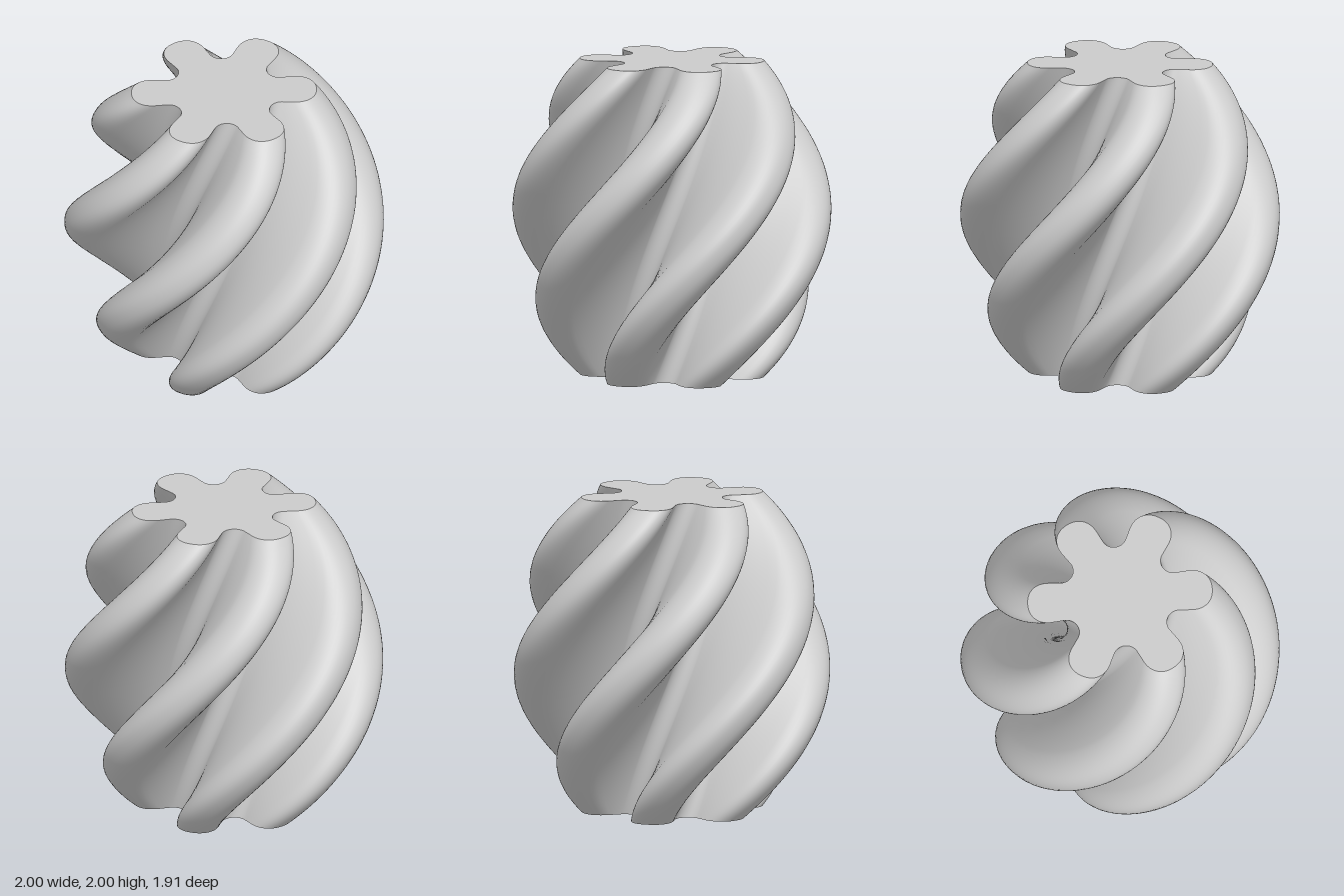
import * as THREE from 'three';

const LOBES = 6;
const ROWS = 64;
const TWIST = Math.PI / 3; // turn per unit of height
const material = new THREE.MeshStandardMaterial({ color: 0xcccccc });

// Barrel outline: lobe tip radius at height y (an arc bulging at mid height)
const tipRadius = (y) => Math.sqrt(1.4 ** 2 - (y - 1) ** 2) - 0.4 + 0.0002 * (y - 1) ** 2;

// Star-shaped cross-section: round groove, straight wall, round tip, mirrored
function section(y) {
  const r = tipRadius(y);
  const w = 0.132 + 0.06 * (r - 0.58) / 0.42; // half width of a lobe
  const fillet = 0.08;
  const cx = 0.41 * Math.cos(Math.PI / 6);
  const cy = -0.41 * Math.sin(Math.PI / 6);
  const half = [];
  for (let i = 0; i <= 6; i++) {
    const a = Math.PI * (5 / 6 - (i / 6) / 3);
    half.push([cx + fillet * Math.cos(a), cy + fillet * Math.sin(a)]);
  }
  const [wx, wy] = half[half.length - 1];
  for (let i = 1; i < 6; i++) {
    half.push([wx + (r - w - wx) * i / 6, wy + (-w - wy) * i / 6]);
  }
  // slightly blunt tip
  for (let i = 0; i <= 10; i++) {
    const a = (i / 10) * Math.PI / 2;
    const s = Math.sin(a) ** 0.9;
    const c = Math.max(0, Math.cos(a)) ** 0.9;
    half.push([r - w + w * s, -w * c]);
  }
  const mirrored = half.slice(1, -1).reverse().map(([x, v]) => [x, -v]);
  const lobe = [...half, ...mirrored];
  const ring = [];
  for (let k = 0; k < LOBES; k++) {
    const t = (k * 2 * Math.PI) / LOBES;
    for (const [x, v] of lobe) {
      ring.push(new THREE.Vector2(x, v).rotateAround(new THREE.Vector2(), t));
    }
  }
  return ring;
}

// Twisted side surface lofted through the sections
function sideGeometry() {
  const positions = [];
  const index = [];
  let n = 0;
  for (let j = 0; j <= ROWS; j++) {
    const y = (2 * j) / ROWS;
    const turn = -TWIST * (y - 1);
    const c = Math.cos(turn), s = Math.sin(turn);
    const ring = section(y);
    n = ring.length;
    for (const p of ring) positions.push(p.x * c - p.y * s, y, p.x * s + p.y * c);
  }
  for (let j = 0; j < ROWS; j++) {
    for (let i = 0; i < n; i++) {
      const a = j * n + i;
      const b = j * n + (i + 1) % n;
      index.push(a, a + n, b, b, a + n, b + n);
    }
  }
  const geometry = new THREE.BufferGeometry();
  geometry.setAttribute('position', new THREE.Float32BufferAttribute(positions, 3));
  geometry.setIndex(index);
  geometry.computeVertexNormals();
  return geometry;
}

export function createModel() {
  const group = new THREE.Group();
  group.name = 'twistedVase';

  const side = new THREE.Mesh(sideGeometry(), material);
  side.name = 'twistedLobes';
  group.add(side);

  // Flat ends
  for (const [name, y, tilt] of [['topFace', 2, -1], ['bottomFace', 0, 1]]) {
    const cap = new THREE.Mesh(new THREE.ShapeGeometry(new THREE.Shape(section(y))), material);
    cap.name = name;
    cap.rotation.x = tilt * Math.PI / 2;
    cap.position.y = y;
    group.add(cap);
  }
  return group;
}
